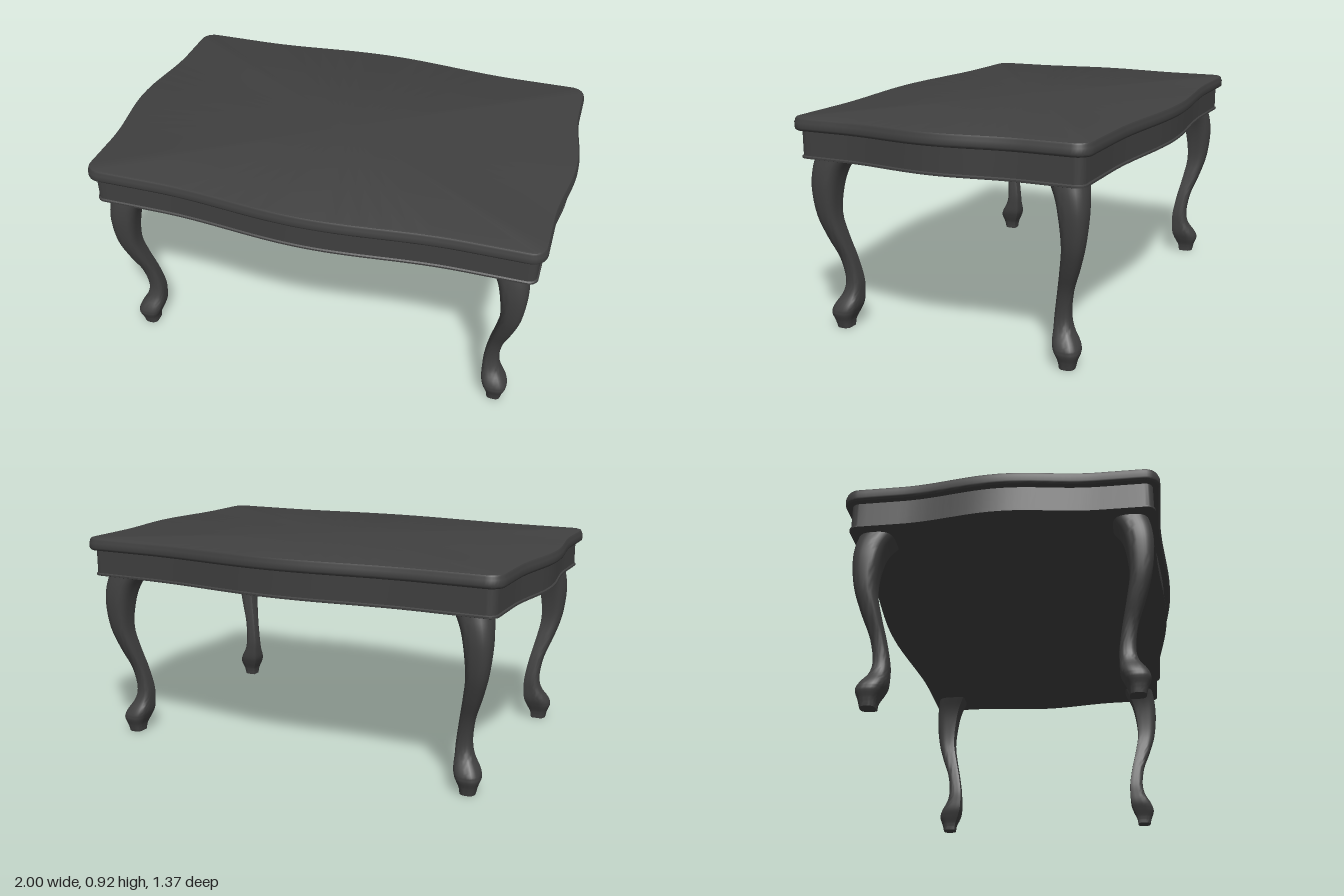
import * as THREE from 'three';
import { toCreasedNormals } from 'three/addons/utils/BufferGeometryUtils.js';

const material = new THREE.MeshStandardMaterial({ color: 0x404040 });

// Skin a stack of closed rings (listed from bottom to top) and cap both ends
function loft(rings, crease) {
  const n = rings[0].length, pos = [], idx = [];
  rings.forEach(r => r.forEach(p => pos.push(p.x, p.y, p.z)));
  for (let j = 0; j < rings.length - 1; j++) {
    for (let i = 0; i < n; i++) {
      const a = j * n + i, b = j * n + (i + 1) % n;
      idx.push(a, a + n, b, b, a + n, b + n);
    }
  }
  [0, rings.length - 1].forEach(j => {
    const c = pos.length / 3;
    const mid = rings[j].reduce((s, p) => s.add(p), new THREE.Vector3()).divideScalar(n);
    pos.push(mid.x, mid.y, mid.z);
    for (let i = 0; i < n; i++) {
      const a = j * n + i, b = j * n + (i + 1) % n;
      if (j === 0) idx.push(c, a, b); else idx.push(c, b, a);
    }
  });
  const g = new THREE.BufferGeometry();
  g.setAttribute('position', new THREE.Float32BufferAttribute(pos, 3));
  g.setIndex(idx);
  return toCreasedNormals(g, crease);
}

const bump = (t, w) => Math.abs(t) < w ? 0.5 * (1 + Math.cos(Math.PI * t / w)) : 0;

// Table outline: rounded rectangle with a gentle bow in each side
function makeOutline() {
  const pts = [], X = 0.96, Z = 0.64, R = 0.065, N = 36, C = 8;
  const corner = (cx, cz, start) => {
    for (let i = 0; i < C; i++) {
      const a = start + (i / C) * Math.PI / 2;
      pts.push(new THREE.Vector2(cx + R * Math.cos(a), cz + R * Math.sin(a)));
    }
  };
  const long = s => {
    for (let i = 0; i < N; i++) {
      const x = s * (X - R) * (1 - 2 * i / N);
      pts.push(new THREE.Vector2(x, s * (Z + 0.047 * bump(x, 0.65))));
    }
  };
  const short = s => {
    for (let i = 0; i < N; i++) {
      const z = -s * (Z - R) * (1 - 2 * i / N);
      pts.push(new THREE.Vector2(s * (X + 0.04 * bump(z, 0.4)), z));
    }
  };
  short(1); corner(X - R, Z - R, 0);
  long(1); corner(R - X, Z - R, Math.PI / 2);
  short(-1); corner(R - X, R - Z, Math.PI);
  long(-1); corner(X - R, R - Z, Math.PI * 1.5);
  return pts;
}
const outline = makeOutline();

// The outline moved inwards along its normals, at height y
function ring(inset, y) {
  const n = outline.length;
  return outline.map((p, i) => {
    const t = outline[(i + 1) % n].clone().sub(outline[(i + n - 1) % n]).normalize();
    return new THREE.Vector3(p.x - t.y * inset, y, p.y + t.x * inset);
  });
}

// Cabriole leg levels: [height, inner reach, outer reach] from the leg's centre line
const legLevels = [
  [0, -0.035, 0.027], [0.03, -0.039, 0.034], [0.07, -0.056, 0.047], [0.1, -0.066, 0.038],
  [0.15, -0.069, 0.008], [0.2, -0.068, -0.003], [0.3, -0.052, 0.009], [0.4, -0.03, 0.044],
  [0.5, -0.014, 0.073], [0.62, -0.024, 0.087], [0.69, -0.042, 0.084], [0.75, -0.073, 0.074],
];

// Rounded-square section whose inner corner (-x, -z) is a sharp ridge
function legRing(y, lo, hi) {
  const c = (lo + hi) / 2, h = (hi - lo) / 2, pts = [];
  for (let i = 0; i < 32; i++) {
    const a = i / 32 * Math.PI * 2, co = Math.cos(a), si = Math.sin(a);
    const inner = i >= 16 && i <= 24;
    const e = inner ? 12 : 2.8;
    const r = h / Math.pow(Math.abs(co) ** e + Math.abs(si) ** e, 1 / e);
    pts.push(new THREE.Vector3(c + r * co, y, c + r * si));
  }
  return pts;
}

function makeLeg() {
  const curve = new THREE.CatmullRomCurve3(legLevels.map(([y, lo, hi]) => new THREE.Vector3(lo, y, hi)));
  const rings = curve.getPoints(44).map(p => legRing(p.y, p.x, p.z));
  return loft(rings, 0.7);
}

export function createModel() {
  const group = new THREE.Group();
  const add = (name, geometry) => {
    const mesh = new THREE.Mesh(geometry, material);
    mesh.name = name;
    group.add(mesh);
    return mesh;
  };

  // Moulded top slab
  add('tabletop', loft([
    [0.03, 0.86], [0.008, 0.862], [0.002, 0.867], [0, 0.874], [0, 0.895],
    [0.004, 0.902], [0.004, 0.906], [0.008, 0.913], [0.014, 0.915],
  ].map(p => ring(...p)), 0.6));

  // Apron with a thin bead along its lower edge
  add('apron', loft([
    [0.03, 0.745], [0.024, 0.747], [0.024, 0.754], [0.03, 0.758], [0.03, 0.862],
  ].map(p => ring(...p)), 0.6));

  // Four legs, each turned so the knee points out of its corner
  const leg = makeLeg();
  [['frontLeftLeg', 1, 1], ['backLeftLeg', 1, -1], ['backRightLeg', -1, -1], ['frontRightLeg', -1, 1]]
    .forEach(([name, sx, sz], i) => {
      const mesh = add(name, leg);
      mesh.position.set(sx * 0.82, 0, sz * 0.515);
      mesh.rotation.y = i * Math.PI / 2;
    });

  return group;
}
